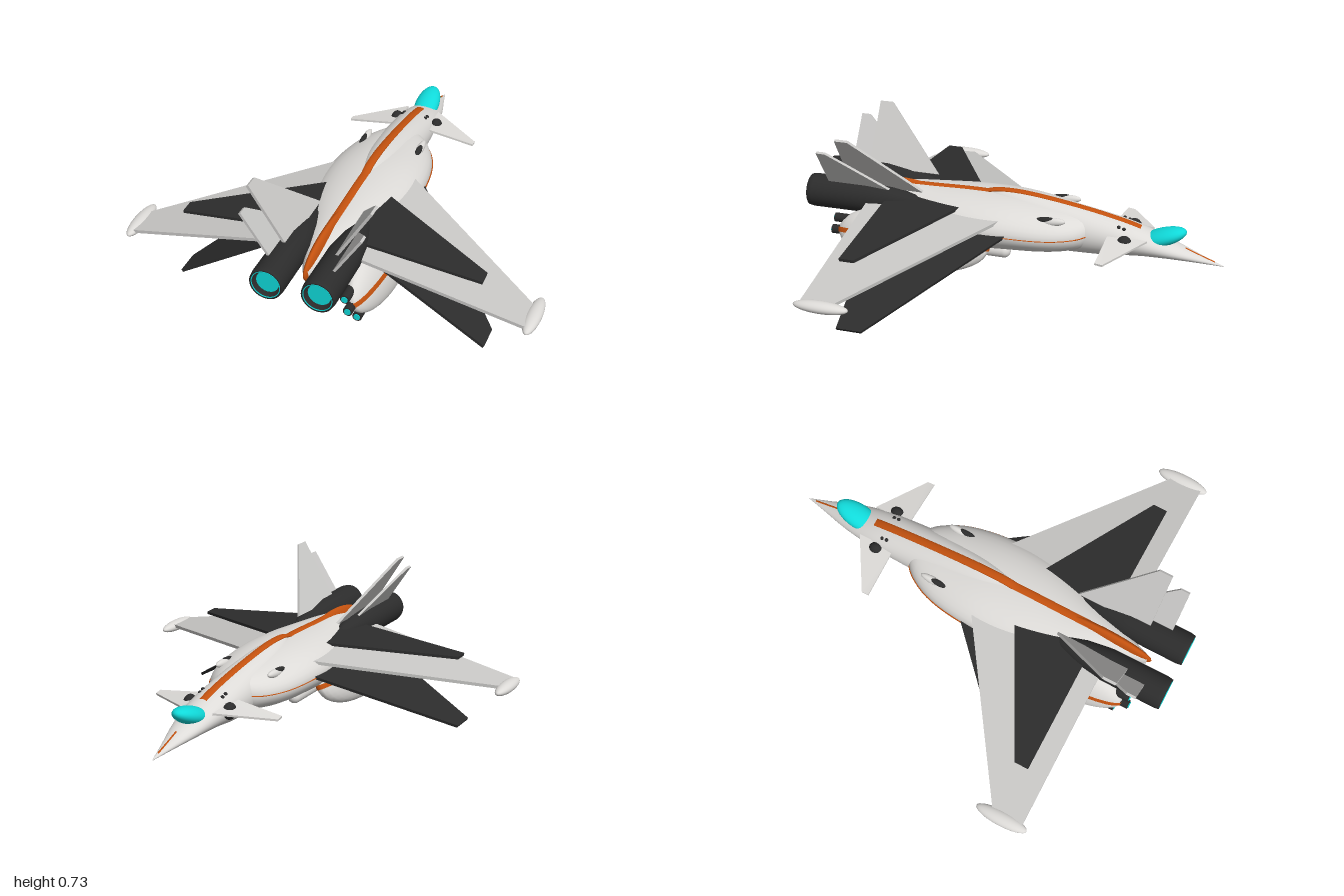
import * as THREE from 'three';

const mat = (name, color) => Object.assign(new THREE.MeshStandardMaterial({ color }), { name });

export function createModel() {
  const root = new THREE.Group();
  root.name = 'starfighter';
  const hull = mat('hull white', 0xdddbd8);
  const grey = mat('wing grey', 0xc9c8c6);
  const dark = mat('dark metal', 0x2c2c2c);
  const orange = mat('orange trim', 0xc4520f);
  const cyan = mat('cyan glow', 0x10dada);

  const add = (name, geo, material, pos = [0, 0, 0], rot = [0, 0, 0]) => {
    const m = new THREE.Mesh(geo, material);
    m.name = name;
    m.position.set(...pos);
    m.rotation.set(...rot);
    root.add(m);
    return m;
  };

  // Adds a part on the left (+x) and its mirror image on the right
  const pair = (name, ...args) => {
    const m = add(name + 'Left', ...args);
    m.updateMatrix();
    const g = m.geometry.clone().applyMatrix4(m.matrix);
    const p = g.attributes.position, n = g.attributes.normal, ix = g.index.array;
    for (let i = 0; i < p.count; i++) {
      p.setX(i, -p.getX(i));
      n.setX(i, -n.getX(i));
    }
    for (let i = 0; i < ix.length; i += 3) [ix[i], ix[i + 1]] = [ix[i + 1], ix[i]];
    add(name + 'Right', g, m.material);
  };

  const ellipsoid = (a, b, c, ...range) => new THREE.SphereGeometry(1, 32, 20, ...range).scale(a, b, c);
  const tube = (r0, r1, len) => new THREE.CylinderGeometry(r1, r0, len, 20).rotateX(Math.PI / 2);

  // Smooth body through stations [z, half width, bottom, top]
  const smooth = (stations, z) => {
    let k = 0;
    while (k < stations.length - 2 && z > stations[k + 1][0]) k++;
    const at = (i) => stations[Math.max(0, Math.min(stations.length - 1, i))];
    const a = at(k - 1), b = at(k), c = at(k + 1), d = at(k + 2);
    const h = c[0] - b[0], t = (z - b[0]) / h;
    return [1, 2, 3].map((i) => {
      const m0 = k ? (c[i] - a[i]) / (c[0] - a[0]) * h : c[i] - b[i];
      const m1 = d === c ? c[i] - b[i] : (d[i] - b[i]) / (d[0] - b[0]) * h;
      const t2 = t * t, t3 = t2 * t;
      return (2 * t3 - 3 * t2 + 1) * b[i] + (t3 - 2 * t2 + t) * m0 + (3 * t2 - 2 * t3) * c[i] + (t3 - t2) * m1;
    });
  };
  const loft = (section, z0, z1, rings = 48, sides = 36) => {
    const pos = [], idx = [];
    for (let i = 0; i <= rings; i++) {
      const z = z0 + (z1 - z0) * i / rings;
      const [w, yb, yt] = section(z);
      for (let j = 0; j < sides; j++) {
        const a = j / sides * Math.PI * 2;
        pos.push(Math.max(w, 0.001) * Math.cos(a), (yb + yt) / 2 + (yt - yb) / 2 * Math.sin(a), z);
        if (i === rings) continue;
        const k = i * sides, n = (j + 1) % sides;
        idx.push(k + j, k + n, k + sides + j, k + n, k + sides + n, k + sides + j);
      }
    }
    const g = new THREE.BufferGeometry();
    g.setAttribute('position', new THREE.Float32BufferAttribute(pos, 3));
    g.setIndex(idx);
    g.computeVertexNormals();
    return g;
  };

  // Flat surface from root and tip edges, made by moving the corners of a box
  const plate = (rootLead, rootTrail, tipLead, tipTrail, thick) => {
    const [a, b, c, d] = [rootLead, rootTrail, tipLead, tipTrail].map((p) => new THREE.Vector3(...p));
    const n = b.clone().sub(a).cross(c.clone().sub(a)).normalize();
    const g = new THREE.BoxGeometry(1, 1, 1), p = g.attributes.position;
    for (let i = 0; i < p.count; i++) {
      const tip = p.getX(i) > 0, trail = p.getZ(i) > 0;
      const v = (tip ? (trail ? d : c) : (trail ? b : a)).clone().addScaledVector(n, p.getY(i) * thick);
      p.setXYZ(i, v.x, v.y, v.z);
    }
    g.computeVertexNormals();
    return g;
  };

  // Fuselage
  const nose = [
    [-1, 0.001, 0.213, 0.218], [-0.9, 0.028, 0.22, 0.253], [-0.75, 0.07, 0.228, 0.31],
    [-0.6, 0.096, 0.225, 0.365], [-0.45, 0.106, 0.208, 0.402], [-0.25, 0.11, 0.2, 0.438],
    [-0.05, 0.095, 0.2, 0.464], [0.08, 0.055, 0.26, 0.466], [0.14, 0.004, 0.42, 0.455],
  ];
  const body = [
    [-0.4, 0.07, 0.26, 0.39], [-0.33, 0.145, 0.23, 0.405], [-0.2, 0.208, 0.21, 0.425],
    [0, 0.24, 0.2, 0.447], [0.2, 0.237, 0.19, 0.452], [0.4, 0.195, 0.2, 0.447],
    [0.6, 0.12, 0.22, 0.44], [0.85, 0.015, 0.32, 0.4],
  ];
  add('forwardFuselage', loft((z) => smooth(nose, z), -1, 0.14), hull);
  add('mainBody', loft((z) => smooth(body, z), -0.4, 0.85), hull);
  add('canopy', ellipsoid(0.061, 0.042, 0.125), cyan, [0, 0.322, -0.705], [0.36, 0, 0]);

  // Orange trim running along the hull
  const topAt = (z) => Math.max(z < 0.14 ? smooth(nose, z)[2] : 0, z > -0.4 ? smooth(body, z)[2] : 0);
  add('dorsalStripe', loft((z) => [0.021, topAt(z) - 0.012, topAt(z) + 0.005], -0.61, 0.6, 48, 12), orange);
  add('noseStripe', loft((z) => [0.005, topAt(z) - 0.008, topAt(z) + 0.003], -0.96, -0.82, 10, 8), orange);
  add('tailSpine', ellipsoid(0.032, 0.09, 0.27), orange, [0, 0.372, 0.6]);
  add('chinStripe', loft((z) => {
    const y = smooth(nose, z)[1];
    return [0.02, y - 0.004, y + 0.01];
  }, -0.56, -0.3, 12, 12), orange);
  add('sideStripe', loft((z) => {
    const [w, yb, yt] = smooth(body, z), y = (yb + yt) / 2;
    return [w + 0.005, y - 0.009, y + 0.009];
  }, -0.4, 0, 24, 36), orange);

  // Wings, fins and canards
  pair('mainWing', plate([0.15, 0.393, -0.01], [0.1, 0.403, 0.69], [0.945, 0.235, 0.54], [0.945, 0.235, 0.69], 0.016), grey);
  pair('wingTipPod', ellipsoid(0.036, 0.027, 0.13), hull, [0.955, 0.228, 0.59]);
  pair('upperWing', plate([0.1, 0.415, 0.2], [0.1, 0.412, 0.6], [0.72, 0.347, 0.53], [0.72, 0.347, 0.6], 0.014), dark);
  pair('lowerWing', plate([0.22, 0.335, -0.03], [0.22, 0.335, 0.62], [0.745, 0.008, 0.5], [0.745, 0.008, 0.62], 0.014), dark);
  pair('frontTailFin', plate([0.11, 0.45, 0.43], [0.11, 0.45, 0.795], [0.285, 0.732, 0.73], [0.285, 0.732, 0.795], 0.013), grey);
  pair('rearTailFin', plate([0.135, 0.44, 0.57], [0.135, 0.44, 0.895], [0.278, 0.657, 0.85], [0.278, 0.657, 0.895], 0.012), grey);
  pair('canard', plate([0.08, 0.325, -0.655], [0.08, 0.335, -0.47], [0.325, 0.295, -0.505], [0.325, 0.3, -0.47], 0.01), hull);
  pair('canardJoint', ellipsoid(0.03, 0.04, 0.036), dark, [0.105, 0.312, -0.553]);

  // Main engines
  const engine = [[0.004, 0.42], [0.035, 0.47], [0.062, 0.57], [0.079, 0.7], [0.08, 0.975], [0.076, 1], [0.067, 1], [0.062, 0.97], [0.001, 0.965]];
  pair('engine', new THREE.LatheGeometry(engine.map((p) => new THREE.Vector2(...p)), 36).rotateX(Math.PI / 2), dark, [0.12, 0.395, 0]);
  pair('engineGlow', tube(0.053, 0.053, 0.008), cyan, [0.12, 0.395, 0.975]);
  pair('engineGlowRing', new THREE.TorusGeometry(0.067, 0.0025, 6, 36), cyan, [0.12, 0.395, 0.999]);

  // Slanted lower pods with a trim band and small thrusters
  const podPos = [0.208, 0.245, 0.45], podRot = [0, 0, 0.36];
  pair('lowerPod', ellipsoid(0.075, 0.155, 0.38), hull, podPos, podRot);
  pair('podBand', ellipsoid(0.078, 0.158, 0.384, 0, Math.PI * 2, 1.5, 0.15), orange, podPos, podRot);
  pair('podNoseStripe', ellipsoid(0.077, 0.157, 0.383, 0.95, 0.16, 1.6, 0.9), orange, podPos, podRot);
  for (const [x, y, z] of [[0.183, 0.292, 0.83], [0.2, 0.237, 0.84], [0.219, 0.167, 0.78]]) {
    pair('thruster', tube(0.022, 0.022, 0.1), dark, [x, y, z - 0.025]);
    pair('thrusterGlow', tube(0.015, 0.015, 0.006), cyan, [x, y, z + 0.026]);
  }

  // Belly launch tubes
  pair('launchTube', new THREE.CapsuleGeometry(0.033, 0.24, 8, 20).rotateX(Math.PI / 2), hull, [0.1, 0.193, 0.15]);
  pair('launchTubeNozzle', tube(0.03, 0.036, 0.08), dark, [0.1, 0.193, 0.33]);
  pair('nozzleCross', new THREE.BoxGeometry(0.055, 0.008, 0.008), grey, [0.1, 0.193, 0.368], [0, 0, 0.78]);
  pair('bellyGun', tube(0.01, 0.01, 0.3), dark, [0.045, 0.19, 0.25]);

  // Upper scoops and hull vents
  pair('scoop', ellipsoid(0.018, 0.02, 0.065), hull, [0.14, 0.393, -0.215], [0.1, 0, 0]);
  pair('scoopSlot', ellipsoid(0.014, 0.014, 0.05), dark, [0.142, 0.4, -0.185], [0.1, 0, 0]);
  for (const z of [-0.54, -0.515]) pair('vent', ellipsoid(0.009, 0.008, 0.009), dark, [0.06, 0.365 + (z + 0.54) * 0.3, z]);

  return root;
}
